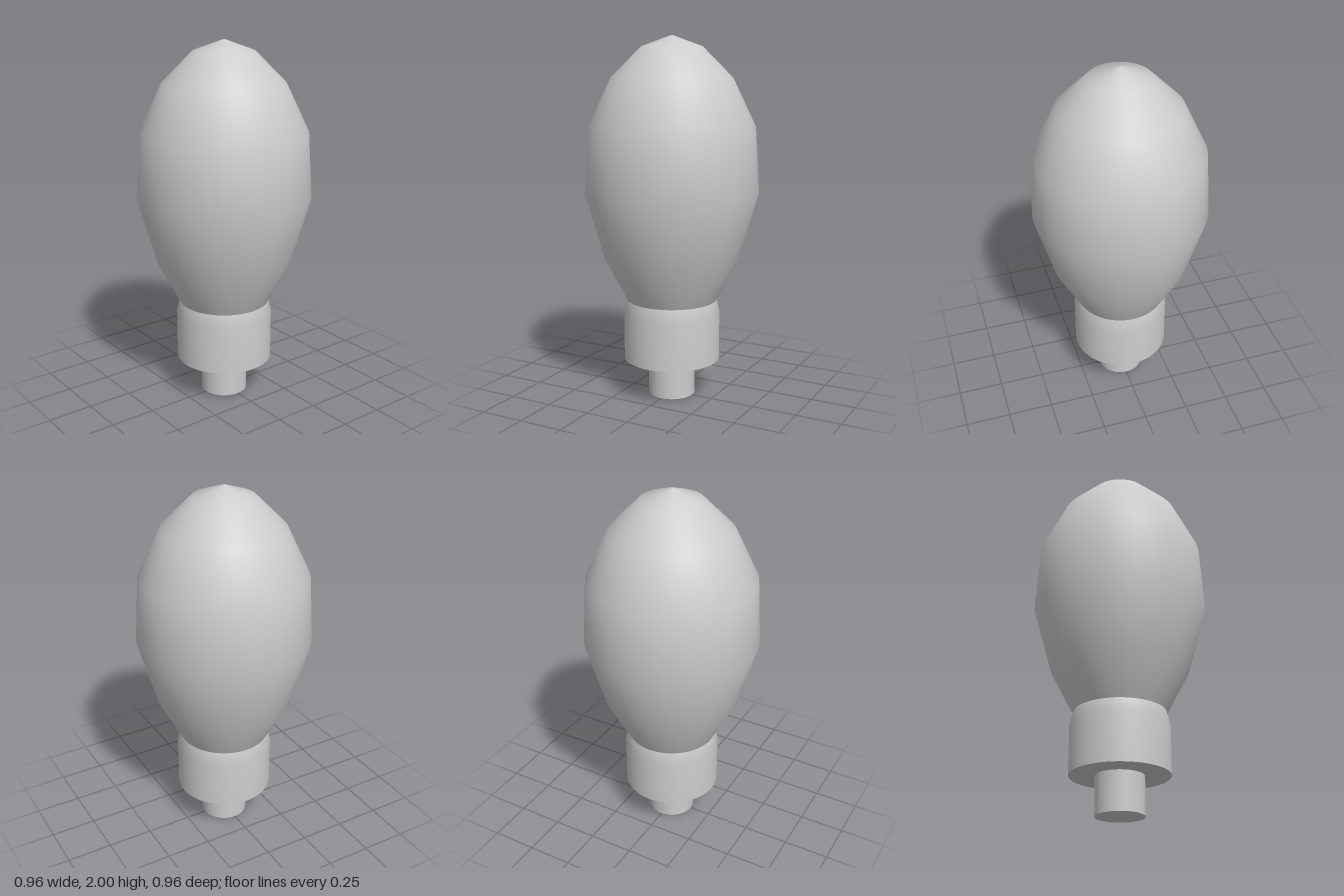
import * as THREE from 'three';

const SEGMENTS = 48;

// Smooth surface of revolution from [radius, height] pairs, bottom to top
function turned(profile) {
  return new THREE.LatheGeometry(profile.map(([r, y]) => new THREE.Vector2(r, y)), SEGMENTS);
}

export function createModel() {
  const model = new THREE.Group();
  model.name = 'lightBulb';
  const grey = new THREE.MeshStandardMaterial({ color: 0xcccccc });
  grey.name = 'light grey';

  function add(name, geometry, y = 0) {
    const mesh = new THREE.Mesh(geometry, grey);
    mesh.name = name;
    mesh.position.y = y;
    model.add(mesh);
  }

  // Faceted-profile glass bulb, swelling from the collar and closing to a point
  add('bulb', turned([
    [0.25, 0.55], [0.375, 0.79], [0.478, 1.155], [0.455, 1.515],
    [0.33, 1.775], [0.165, 1.94], [0, 2],
  ]));

  // Collar with a bevelled shoulder and a flat underside
  add('collar', turned([[0.268, 0.21], [0.268, 0.48], [0.25, 0.55]]));
  add('collarUnderside', new THREE.CircleGeometry(0.268, SEGMENTS).rotateX(Math.PI / 2), 0.21);

  // Narrow contact stem
  add('stem', new THREE.CylinderGeometry(0.13, 0.13, 0.22, SEGMENTS), 0.11);

  return model;
}
